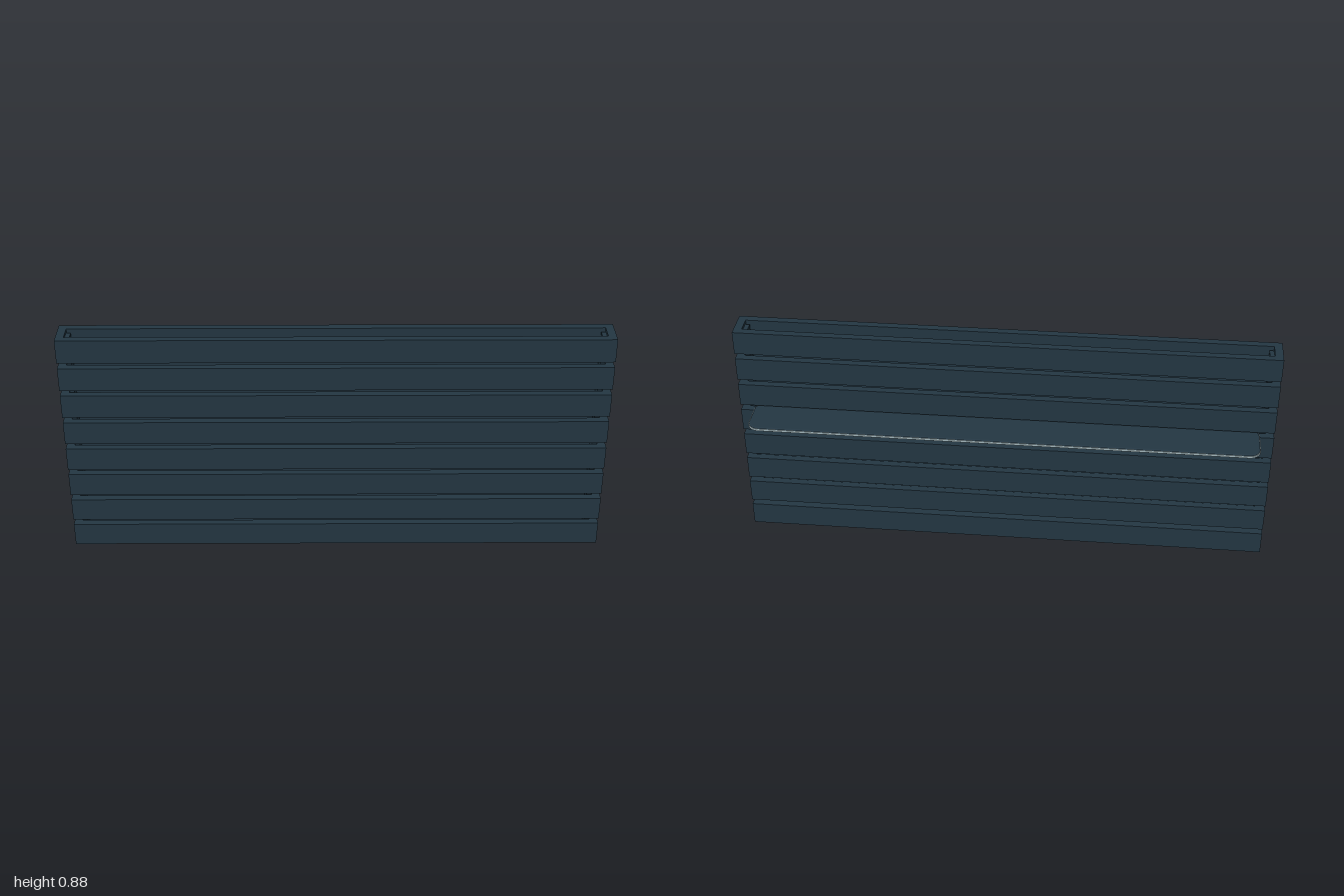
import * as THREE from 'three';

const frameColour = new THREE.MeshStandardMaterial({ color: 0x233642 });
frameColour.name = 'dark slate';
const edgeColour = new THREE.MeshStandardMaterial({ color: 0xa3b6bb });
edgeColour.name = 'pale grey edge';

function add(parent, name, geometry, material, x = 0, y = 0, z = 0) {
  const mesh = new THREE.Mesh(geometry, material);
  mesh.name = name;
  mesh.position.set(x, y, z);
  parent.add(mesh);
  return mesh;
}

// Rectangle path with optional rounded corners
function rectangle(path, x, y0, y1, r = 0) {
  path.moveTo(-x + r, y0).lineTo(x - r, y0);
  if (r) path.absarc(x - r, y0 + r, r, -Math.PI / 2, 0);
  path.lineTo(x, y1 - r);
  if (r) path.absarc(x - r, y1 - r, r, 0, Math.PI / 2);
  path.lineTo(-x + r, y1);
  if (r) path.absarc(-x + r, y1 - r, r, Math.PI / 2, Math.PI);
  path.lineTo(-x, y0 + r);
  if (r) path.absarc(-x + r, y0 + r, r, Math.PI, Math.PI * 1.5);
  return path;
}

export function createModel() {
  const model = new THREE.Group();
  model.name = 'slattedPanelWithShelf';

  // Eight hollow rectangular slats, stacked with gaps
  const ring = rectangle(new THREE.Shape(), 1, 0.01, 0.13);
  ring.holes.push(rectangle(new THREE.Path(), 0.97, 0.038, 0.102));
  const slat = new THREE.ExtrudeGeometry(ring, { depth: 0.091, bevelEnabled: false });
  slat.rotateX(Math.PI / 2);
  for (let i = 0; i < 8; i++) add(model, `slat${i + 1}`, slat, frameColour, 0, 0.091 + i * 0.113, 0);

  // Upright posts inside both ends
  for (const side of [-1, 1]) {
    add(model, side > 0 ? 'leftPost' : 'rightPost',
      new THREE.BoxGeometry(0.026, 0.86, 0.042), frameColour, side * 0.966, 0.441, 0.07);
  }

  // Rear shelf with a rounded rim
  const shelf = new THREE.Group();
  shelf.name = 'shelf';
  model.add(shelf);
  const board = new THREE.ExtrudeGeometry(rectangle(new THREE.Shape(), 0.938, -0.122, 0.034, 0.035),
    { depth: 0.005, bevelThickness: 0.006, bevelSize: 0.006, bevelSegments: 3, curveSegments: 8 });
  board.rotateX(Math.PI / 2);
  add(shelf, 'shelfBoard', board, frameColour, 0, 0.554, 0);

  // Pale edge band around the board
  const band = new THREE.ExtrudeGeometry(rectangle(new THREE.Shape(), 0.946, -0.13, 0.042, 0.043),
    { depth: 0.008, bevelEnabled: false, curveSegments: 8 });
  band.rotateX(Math.PI / 2);
  add(shelf, 'shelfEdge', band, edgeColour, 0, 0.5555, 0);

  // Tapered support strip under the shelf, against the slat
  const wedge = new THREE.Shape();
  wedge.moveTo(-0.012, 0.456).lineTo(-0.012, 0.545).lineTo(0, 0.545).lineTo(-0.01, 0.456);
  const support = new THREE.ExtrudeGeometry(wedge, { depth: 1.86, bevelEnabled: false });
  support.rotateY(Math.PI / 2);
  add(shelf, 'shelfSupport', support, frameColour, -0.93, 0, 0);

  return model;
}
